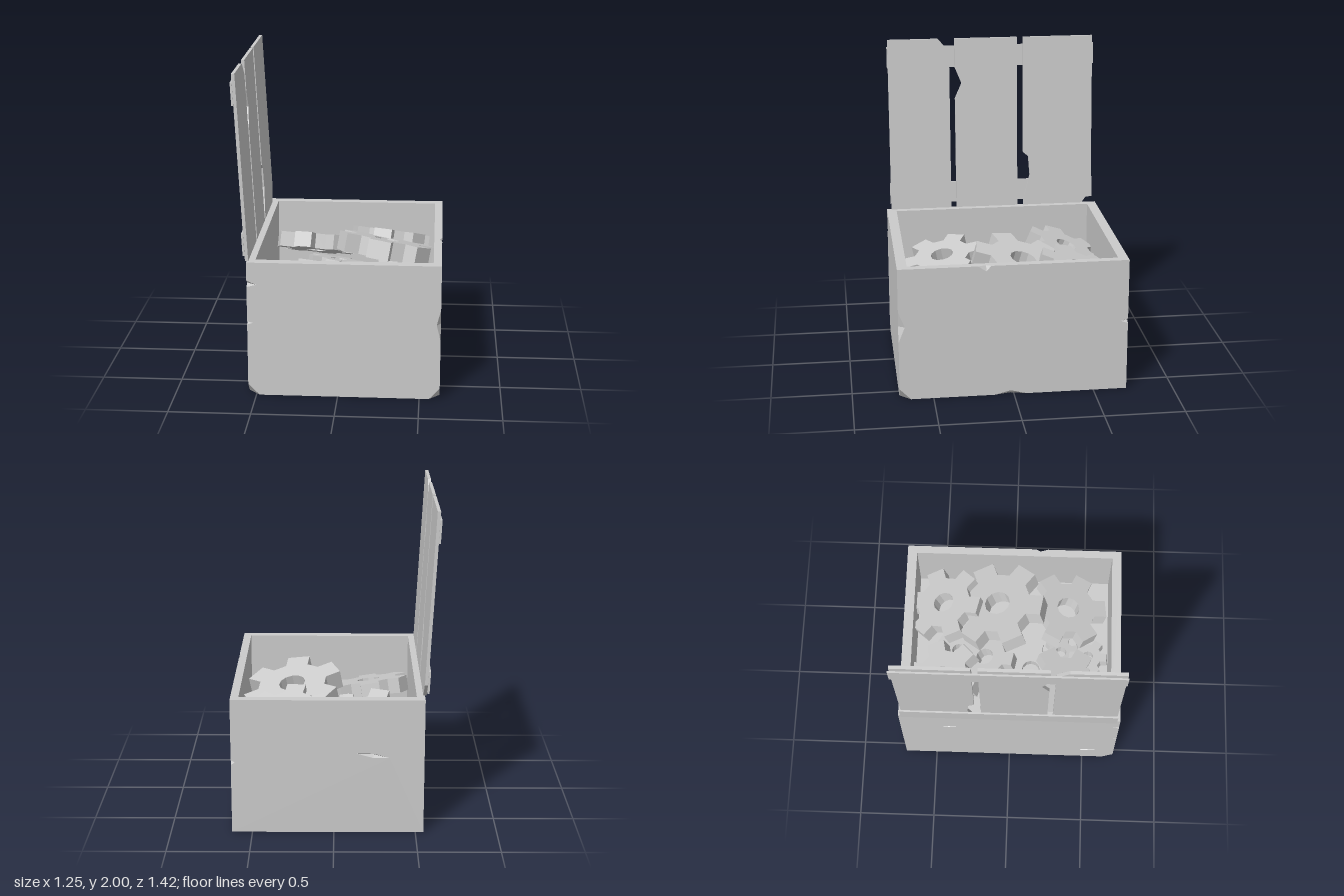
import * as THREE from 'three';

const X0 = -0.55, X1 = 0.625, Z = 0.71, H = 0.855;        // crate outer size
const IX0 = -0.5, IX1 = 0.575, IZ = 0.648, FLOOR = 0.4;   // crate inner size
const solid = new THREE.MeshStandardMaterial({ color: 0xcccccc, flatShading: true });
const sheet = new THREE.MeshStandardMaterial({ color: 0xcccccc, flatShading: true, side: THREE.DoubleSide });

function add(parent, geometry, name, material = solid) {
  const mesh = new THREE.Mesh(geometry, material);
  mesh.name = name;
  parent.add(mesh);
  return mesh;
}

const vec2 = (list) => list.map(([u, v]) => new THREE.Vector2(u, v));

// Flat panel: a 2D outline with holes, placed in space by a mapping rule
function panel(outline, holes, map) {
  const contour = vec2(outline), cuts = holes.map(vec2);
  if (THREE.ShapeUtils.isClockWise(contour)) contour.reverse();
  cuts.forEach((c) => { if (!THREE.ShapeUtils.isClockWise(c)) c.reverse(); });
  const points = [...contour, ...cuts.flat()];
  const g = new THREE.BufferGeometry();
  g.setAttribute('position', new THREE.Float32BufferAttribute(points.flatMap((p) => map(p.x, p.y)), 3));
  g.setIndex(THREE.ShapeUtils.triangulateShape(contour, cuts).flat());
  g.computeVertexNormals();
  return g;
}

function facets(triangles) {
  const g = new THREE.BufferGeometry();
  g.setAttribute('position', new THREE.Float32BufferAttribute(triangles.flat(2), 3));
  g.computeVertexNormals();
  return g;
}

// Dent across an edge: a and b lie on the edge, p and q on the two faces
const edgeChip = (a, b, p, q) => [[a, p, q], [p, b, q]];

// Lens-shaped cut in a face
const lens = (u, v, w, h) => [[u - w, v - h], [u, v - h], [u + w, v + h], [u, v + h]];
const gashSides = (outline, map, deep) =>
  outline.map((p, i) => [map(...p), map(...outline[(i + 1) % 4]), deep]);

function makeCrate() {
  const crate = new THREE.Group();
  crate.name = 'crate';
  const front = (x, y) => [x, y, Z], back = (x, y) => [x, y, -Z];
  const left = (z, y) => [X1, y, z], right = (z, y) => [X0, y, z];
  const level = (y) => (x, z) => [x, y, z];
  const backGash = lens(-0.24, 0.5, 0.1, 0.014);
  const sideGashes = [lens(-0.39, 0.63, 0.06, 0.012), lens(0.52, 0.17, 0.07, 0.014)];

  // Outer faces with their worn outlines
  add(crate, panel([[-0.48, 0], [0.56, 0], [X1, 0.07], [X1, 0.38], [0.6, 0.48], [X1, 0.58], [X1, H], [X0, H],
    [X0, 0.74], [-0.49, 0.715], [X0, 0.7], [X0, 0.48], [-0.515, 0.47], [X0, 0.46], [X0, 0.07]], [], front), 'frontWall', sheet);
  add(crate, panel([[X0, 0], [X1, 0], [X1, 0.44], [0.6, 0.455], [X1, 0.47], [X1, H], [X0, H]],
    [backGash], back), 'backWall', sheet);
  add(crate, panel([[0.64, 0], [0.12, 0], [0.02, 0.025], [-0.08, 0], [-Z, 0], [-Z, 0.44], [-0.665, 0.455], [-Z, 0.47],
    [-Z, H], [0.14, H], [0.17, 0.82], [0.22, H], [Z, H], [Z, 0.58], [0.67, 0.48], [Z, 0.38], [Z, 0.07]], [], left), 'leftWall', sheet);
  add(crate, panel([[-Z, 0], [0.64, 0], [Z, 0.07], [Z, 0.46], [0.68, 0.47], [Z, 0.48], [Z, 0.7], [0.67, 0.715],
    [Z, 0.74], [Z, H], [-Z, H]], sideGashes, right), 'rightWall', sheet);
  add(crate, panel([[-0.48, Z], [0.56, Z], [X1, 0.64], [X1, 0.12], [0.6, 0.02], [X1, -0.08], [X1, -Z], [X0, -Z],
    [X0, 0.64]], [], level(0)), 'underside', sheet);
  const inner = [[IX0, -IZ], [IX1, -IZ], [IX1, IZ], [IX0, IZ]];
  add(crate, panel([[X0, -Z], [X1, -Z], [X1, 0.14], [0.61, 0.17], [X1, 0.22], [X1, Z], [X0, Z]],
    [inner], level(H)), 'rim', sheet);

  // Chips and gashes
  add(crate, facets([
    [front(-0.48, 0), right(Z, 0.07), right(0.64, 0)],
    [front(0.56, 0), left(0.64, 0), left(Z, 0.07)],
    ...edgeChip(left(Z, 0.38), left(Z, 0.58), front(0.6, 0.48), left(0.67, 0.48)),
    ...edgeChip(right(Z, 0.7), right(Z, 0.74), front(-0.49, 0.715), right(0.67, 0.715)),
    ...edgeChip(right(Z, 0.46), right(Z, 0.48), front(-0.515, 0.47), right(0.68, 0.47)),
    ...edgeChip(left(-Z, 0.44), left(-Z, 0.47), back(0.6, 0.455), left(-0.665, 0.455)),
    ...edgeChip(left(0.14, H), left(0.22, H), left(0.17, 0.82), [0.61, H, 0.17]),
    ...edgeChip(left(0.12, 0), left(-0.08, 0), left(0.02, 0.025), [0.6, 0, 0.02]),
    ...gashSides(backGash, back, [-0.24, 0.5, -0.68]),
    ...gashSides(sideGashes[0], right, [-0.525, 0.63, -0.39]),
    ...gashSides(sideGashes[1], right, [-0.525, 0.17, 0.52]),
  ]), 'wear', sheet);

  // Inside walls and floor
  inner.forEach(([x, z], i) => {
    const [x2, z2] = inner[(i + 1) % 4];
    add(crate, panel([[0, FLOOR], [1, FLOOR], [1, H], [0, H]], [],
      (t, y) => [x + (x2 - x) * t, y, z + (z2 - z) * t]), 'innerWall', sheet);
  });
  add(crate, panel(inner, [], level(FLOOR)), 'innerFloor', sheet);
  return crate;
}

// Board cut from a (z, y) outline, with its thickness running towards -x
function board(outline, thickness) {
  const g = new THREE.ExtrudeGeometry(new THREE.Shape(vec2(outline)), { depth: thickness, bevelEnabled: false });
  return g.rotateY(-Math.PI / 2).translate(0, -H, 0);
}

function makeLid() {
  const lid = new THREE.Group();
  lid.name = 'lid';
  const planks = [
    [[0.275, H], [0.68, H], [0.68, 2], [0.35, 2], [0.275, 1.92]],
    [[-0.175, H], [0.24, H], [0.24, 1.6], [0.195, 1.7], [0.24, 1.81], [0.24, 2], [-0.175, 2]],
    [[-0.615, H], [-0.215, H], [-0.215, 0.89], [-0.26, 1.06], [-0.25, 1.19], [-0.215, 1.22], [-0.215, 2],
      [-0.68, 2], [-0.68, 0.94]],
  ];
  planks.forEach((p) => add(lid, board(p, 0.02), 'plank'));
  for (const y of [0.89, 1.81]) {
    const batten = [[-0.69, y], [0.685, y], [0.685, y + 0.14], [-0.69, y + 0.14]];
    add(lid, board(batten, 0.012), 'batten').position.x = -0.019;
  }
  lid.position.set(-0.54, H, 0);
  lid.rotation.z = 0.053;
  return lid;
}

// Six-toothed gear whose top face is centred on its origin
function gearGeometry(radius, hole, thickness, turn) {
  const at = (r, a) => new THREE.Vector2(r * Math.cos(a), r * Math.sin(a));
  const points = [];
  for (let i = 0; i < 6; i++) {
    const a = (i * Math.PI) / 3 - THREE.MathUtils.degToRad(turn);
    points.push(at(radius * 0.7, a - 0.33), at(radius, a - 0.23), at(radius, a + 0.23), at(radius * 0.7, a + 0.33));
  }
  const shape = new THREE.Shape(points);
  const bore = Array.from({ length: 12 }, (_, i) => at(hole, (-i * Math.PI) / 6));
  shape.holes.push(new THREE.Path([...bore, bore[0].clone()]));
  return new THREE.ExtrudeGeometry(shape, { depth: thickness, bevelEnabled: false })
    .rotateX(-Math.PI / 2).translate(0, -thickness, 0);
}

function makeGears() {
  const gears = new THREE.Group();
  gears.name = 'gears';
  // x, y, z, radius, hole, thickness, turn in degrees, tilt towards x, tilt towards z
  const list = [
    [-0.22, 0.67, -0.46, 0.26, 0.07, 0.1, 47, 0.08, -0.4],
    [0.285, 0.71, -0.465, 0.26, 0.07, 0.1, 42, 0.12, -0.35],
    [0.27, 0.765, -0.105, 0.315, 0.085, 0.12, 38, 0.18, -0.25],
    [-0.225, 0.635, 0.37, 0.265, 0.075, 0.1, 28, 0.15, 0.2],
    [0.3, 0.64, 0.37, 0.265, 0.075, 0.1, 25, 0.15, 0.2],
    [-0.05, 0.6, -0.18, 0.2, 0.058, 0.09, 40, 0.15, -0.25],
    [-0.36, 0.52, -0.06, 0.135, 0.037, 0.06, 20, 0.25, 0.12],
    [-0.385, 0.52, 0.13, 0.13, 0.037, 0.06, 50, 0.22, 0.15],
    [-0.085, 0.46, 0.13, 0.21, 0.06, 0.08, 10, 0, 0],
    [0.005, 0.5, 0.51, 0.13, 0.037, 0.06, 35, 0.12, -0.1],
    [0.04, 0.48, 0.33, 0.12, 0.037, 0.06, 15, 0.15, 0.05],
    [0.03, 0.48, -0.36, 0.16, 0.045, 0.07, 60, 0.08, -0.05],
  ];
  const up = new THREE.Vector3(0, 1, 0);
  for (const [x, y, z, radius, hole, thickness, turn, tx, tz] of list) {
    const gear = add(gears, gearGeometry(radius, hole, thickness, turn), 'gear');
    gear.position.set(x, y, z);
    gear.quaternion.setFromUnitVectors(up, new THREE.Vector3(tx, 1, tz).normalize());
  }
  return gears;
}

export function createModel() {
  const model = new THREE.Group();
  model.name = 'crateOfGears';
  model.add(makeCrate(), makeLid(), makeGears());
  return model;
}
